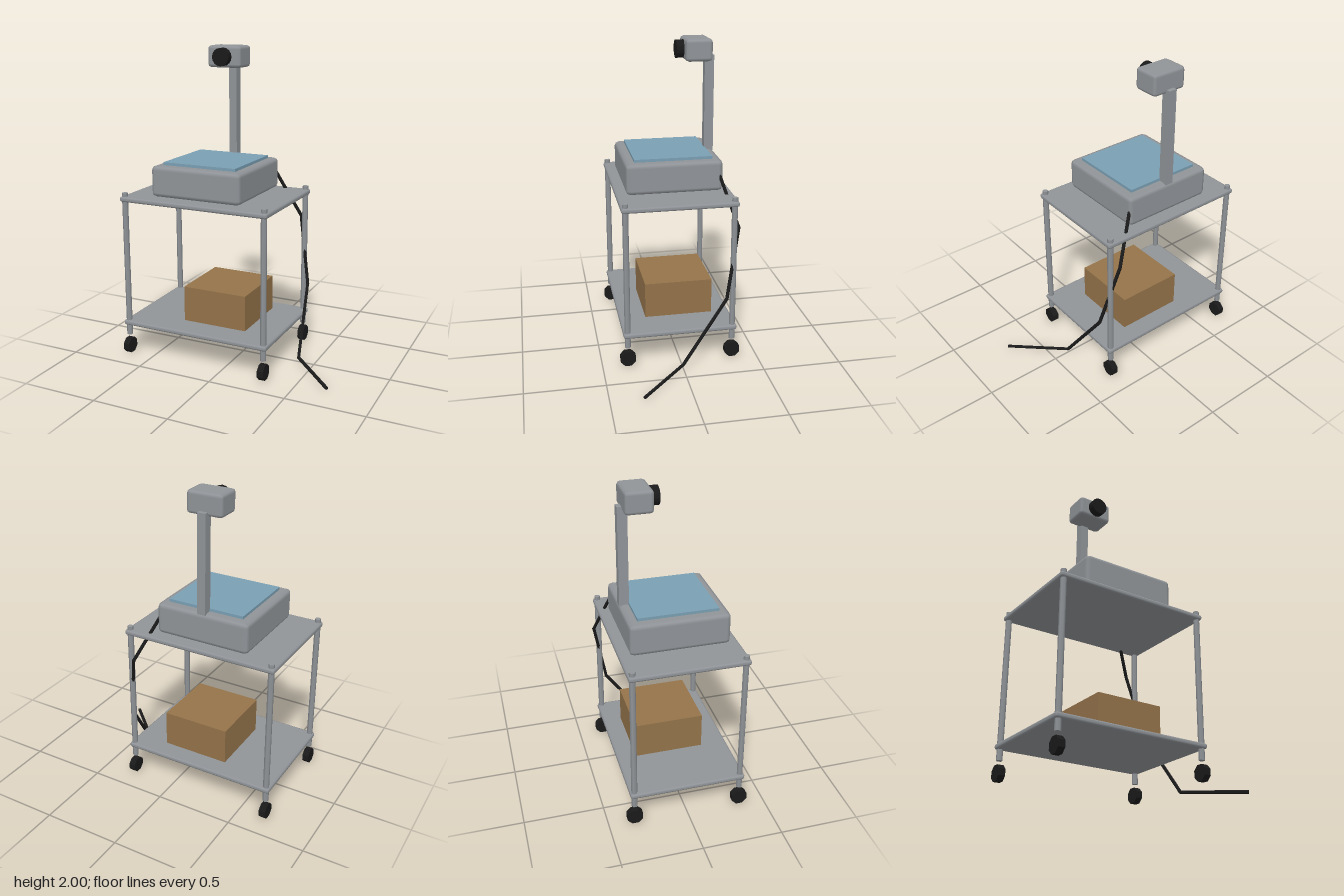
import * as THREE from 'three';
import { RoundedBoxGeometry } from 'three/addons/geometries/RoundedBoxGeometry.js';

const material = (name, color, flatShading = false) => {
  const m = new THREE.MeshStandardMaterial({ color, flatShading });
  m.name = name;
  return m;
};

export function createModel() {
  const group = new THREE.Group();
  const grey = material('grey metal', 0x909498);
  const glass = material('blue glass', 0x7a9fb3);
  const card = material('cardboard brown', 0x94734a);
  const black = material('black rubber', 0x1a1a1a, true);

  const add = (name, geometry, mat, x, y, z) => {
    const mesh = new THREE.Mesh(geometry, mat);
    mesh.name = name;
    mesh.position.set(x, y, z);
    group.add(mesh);
    return mesh;
  };
  // Box given by its limits on each axis, with an optional edge bevel
  const box = (name, mat, [x0, x1], [y0, y1], [z0, z1], bevel = 0) => {
    const size = [x1 - x0, y1 - y0, z1 - z0];
    const geometry = bevel
      ? new RoundedBoxGeometry(...size, 1, bevel)
      : new THREE.BoxGeometry(...size);
    return add(name, geometry, mat, (x0 + x1) / 2, (y0 + y1) / 2, (z0 + z1) / 2);
  };

  // Trolley: two shelves, four posts, four wheels
  box('lowerShelf', grey, [-0.7, 0.32], [0.203, 0.237], [-0.365, 0.365], 0.014);
  box('upperShelf', grey, [-0.7, 0.32], [1.038, 1.072], [-0.365, 0.365], 0.014);
  const postGeometry = new THREE.CylinderGeometry(0.019, 0.019, 0.96, 6);
  const wheelGeometry = new THREE.CylinderGeometry(0.052, 0.052, 0.042, 8);
  wheelGeometry.rotateY(Math.PI / 8).rotateZ(Math.PI / 2);
  for (const x of [-0.672, 0.292]) {
    for (const z of [-0.338, 0.338]) {
      add('post', postGeometry, grey, x, 0.615, z);
      add('wheel', wheelGeometry, black, x, 0.06, z);
    }
  }

  // Projector: base, glass stage, column, head and lens
  box('projectorBase', grey, [-0.498, 0.116], [1.08, 1.278], [-0.306, 0.306], 0.028);
  box('glassStage', glass, [-0.438, 0.06], [1.27, 1.296], [-0.247, 0.247]);
  box('column', grey, [-0.218, -0.164], [1.27, 1.89], [-0.302, -0.242]);
  box('projectorHead', grey, [-0.307, -0.074], [1.862, 2], [-0.275, -0.105], 0.022);
  const lensGeometry = new THREE.CylinderGeometry(0.057, 0.057, 0.06, 16).rotateX(Math.PI / 2);
  add('lens', lensGeometry, black, -0.19, 1.931, -0.087);

  // Cardboard box on the lower shelf
  box('cardboardBox', card, [-0.335, 0.102], [0.235, 0.47], [-0.245, 0.195]);

  // Power cable: straight runs between bends
  const bends = [
    [0.105, 1.18, -0.285], [0.25, 0.88, -0.377], [0.34, 0.44, -0.288],
    [0.395, 0.032, 0], [0.688, 0.015, 0.29],
  ].map((p) => new THREE.Vector3(...p));
  const up = new THREE.Vector3(0, 1, 0);
  for (let i = 1; i < bends.length; i++) {
    const run = bends[i].clone().sub(bends[i - 1]);
    const middle = bends[i].clone().add(bends[i - 1]).multiplyScalar(0.5);
    const cable = add('cable',
      new THREE.CylinderGeometry(0.011, 0.011, run.length() + 0.006, 6), black, ...middle.toArray());
    cable.quaternion.setFromUnitVectors(up, run.normalize());
  }
  return group;
}
